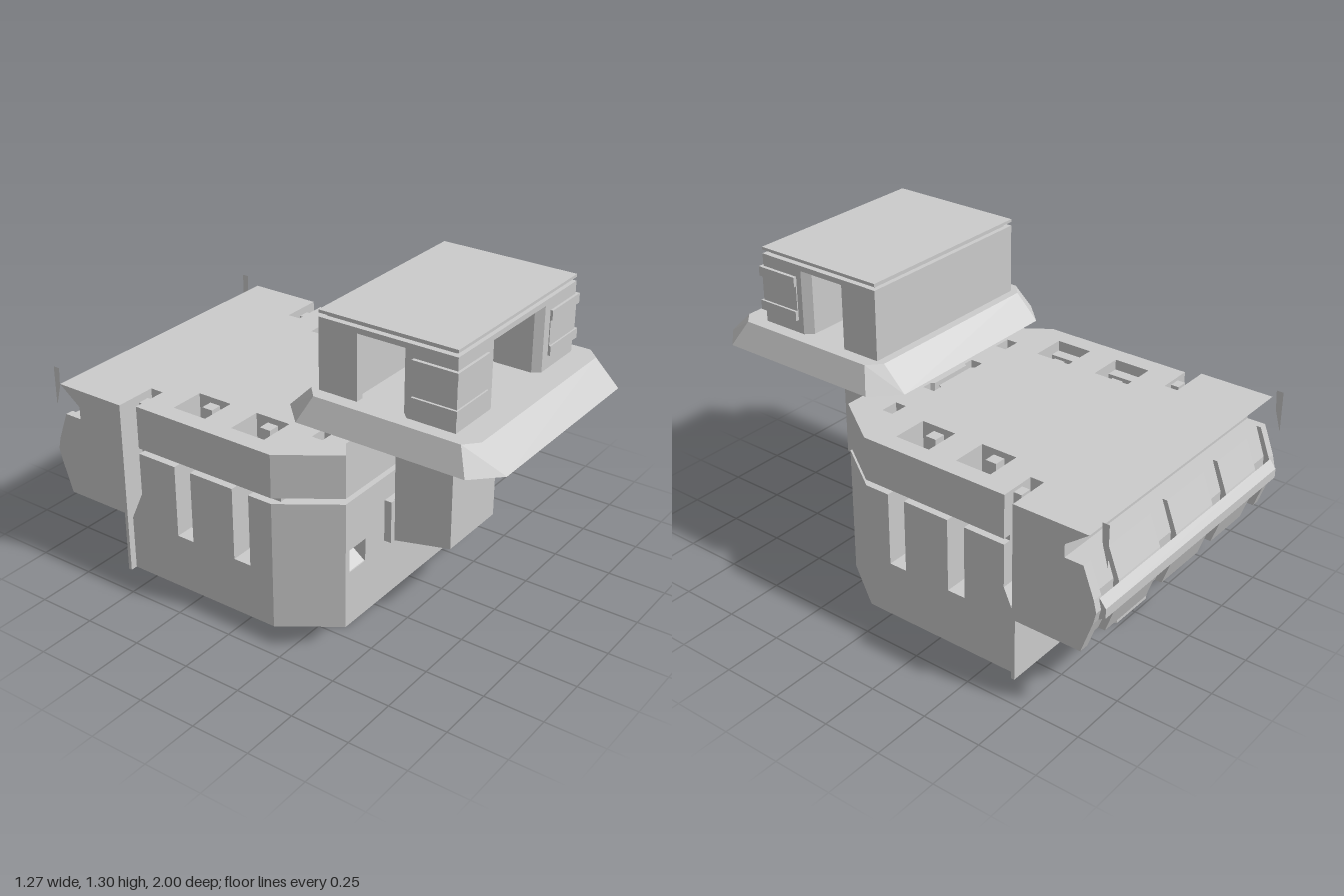
import * as THREE from 'three';
import { ConvexGeometry } from 'three/addons/geometries/ConvexGeometry.js';

export function createModel() {
  const model = new THREE.Group();
  const mat = new THREE.MeshStandardMaterial({ color: 0xcccccc, flatShading: true });
  const thinMat = new THREE.MeshStandardMaterial({ color: 0xcccccc, flatShading: true, side: THREE.DoubleSide });

  function add(name, geometry, parent = model, material = mat) {
    const mesh = new THREE.Mesh(geometry, material);
    mesh.name = name;
    parent.add(mesh);
    return mesh;
  }
  function group(name) {
    const g = new THREE.Group();
    g.name = name;
    model.add(g);
    return g;
  }
  // Box given by its limits on each axis
  function box(name, x0, x1, y0, y1, z0, z1, parent) {
    const g = new THREE.BoxGeometry(Math.abs(x1 - x0), y1 - y0, z1 - z0);
    g.translate((x0 + x1) / 2, (y0 + y1) / 2, (z0 + z1) / 2);
    return add(name, g, parent);
  }
  // Plan outline of [x, z] points raised from y0 to y1
  function slab(name, plan, y0, y1, parent, holes = []) {
    const pts = (list) => list.map(([x, z]) => new THREE.Vector2(x, -z));
    const shape = new THREE.Shape(pts(plan));
    for (const h of holes) shape.holes.push(new THREE.Path(pts(h)));
    const g = new THREE.ExtrudeGeometry(shape, { depth: y1 - y0, bevelEnabled: false });
    g.rotateX(-Math.PI / 2).translate(0, y0, 0);
    return add(name, g, parent);
  }
  // Side outline of [z, y] points swept from x0 to x1
  function sweep(name, side, x0, x1, parent) {
    const a = Math.min(x0, x1), b = Math.max(x0, x1);
    const shape = new THREE.Shape(side.map(([z, y]) => new THREE.Vector2(-z, y)));
    const g = new THREE.ExtrudeGeometry(shape, { depth: b - a, bevelEnabled: false });
    g.rotateY(Math.PI / 2).translate(a, 0, 0);
    return add(name, g, parent);
  }
  // Full outline from its +x half, listed front to back
  const mirrored = (half) => [...half, ...half.map(([x, z]) => [-x, z]).reverse()];
  const rect = (x0, x1, z0, z1) => [[x0, z0], [x1, z0], [x1, z1], [x0, z1]];

  // Lower body, in layers so that the slots and front windows are cut in
  const body = group('body');
  const BACK = -0.615, NOTCH = -0.555;
  const chamfer = [[0.445, 0.34], [0.605, 0.11]];
  const slots = [0, -0.29].flatMap((z) => [[0.605, z], [0.37, z], [0.37, z - 0.08], [0.605, z - 0.08]]);
  const corner = [[0.605, NOTCH], [0.45, NOTCH], [0.45, BACK]];
  const windowCuts = [[0.16, 0.2], [0.16, 0.34], [0.315, 0.34], [0.315, 0.2], [0.42, 0.2], [0.42, 0.34]];
  slab('lowerBody', mirrored([...chamfer, [0.605, BACK]]), 0, 0.24, body);
  slab('windowLayer', mirrored([...windowCuts, ...chamfer, ...slots, ...corner]), 0.24, 0.34, body);
  slab('slotLayer', mirrored([...chamfer, ...slots, ...corner]), 0.34, 0.555, body);
  slab('recessedBand', mirrored([[0.57, 0.13],
    ...slots.map(([x, z]) => [Math.min(x, 0.57), z]), [0.57, NOTCH], [0.45, NOTCH], [0.45, BACK]]), 0.555, 0.58, body);
  box('backFlange', -0.635, 0.635, 0, 0.765, -0.63, BACK, body);

  // Upper body with wells, small front holes and a waisted centre slot
  const wells = [];
  for (const s of [1, -1]) {
    for (const z of [0.02, -0.27]) wells.push(rect(s * 0.37, s * 0.525, z - 0.16, z));
    wells.push(rect(s * 0.32, s * 0.4, 0.15, 0.2));
  }
  const waist = mirrored([[0.1, 0.185], [0.11, 0.2], [0.155, 0.2], [0.155, 0.145], [0.11, 0.145], [0.1, 0.16]]);
  slab('upperBody', mirrored([...chamfer, ...corner]), 0.58, 0.765, body, [...wells, waist]);
  const lip = new THREE.PlaneGeometry(0.89, 0.05);
  lip.translate(0, 0.79, 0.34);
  add('frontLip', lip, body);

  for (const s of [1, -1]) {
    for (const z of [0.02, -0.27]) {
      box('wellLedge', s * 0.475, s * 0.525, 0.6, 0.72, z - 0.16, z, body);
      box('wellRib', s * 0.37, s * 0.42, 0.59, 0.74, z - 0.105, z - 0.055, body);
      sweep('slotRamp', [[z - 0.02, 0.24], [z - 0.1, 0.24], [z - 0.1, 0.27], [z - 0.02, 0.38]],
        s * 0.37, s * 0.45, body);
    }
    sweep('windowRamp', [[0.335, 0.24], [0.2, 0.24], [0.2, 0.34]], s * 0.315, s * 0.42, body);
    sweep('cornerRamp', [[NOTCH, 0.24], [NOTCH, 0.37], [BACK, 0.24]], s * 0.45, s * 0.605, body);
    box('cornerTab', s * 0.5, s * 0.55, 0.45, 0.75, -0.59, NOTCH, body);
  }

  // Tapered block low on the back
  add('backBlock', new ConvexGeometry([1, -1].flatMap((s) => [
    [0.18, 0, -0.625], [0.18, 0.13, -0.625], [0.105, 0, -0.735], [0.105, 0.165, -0.735],
  ].map(([x, y, z]) => new THREE.Vector3(s * x, y, z)))), body);

  // Rear hopper with ribbed back
  const hopper = group('rearHopper');
  sweep('hopperBody', [[-0.625, 0.27], [-0.625, 0.765], [-0.94, 0.765], [-0.84, 0.69], [-0.84, 0.635],
    [-0.9, 0.635], [-0.945, 0.51], [-0.945, 0.42], [-0.89, 0.27]], -0.635, 0.635, hopper);
  const panel = [[-0.86, 0.3], [-0.86, 0.635], [-0.92, 0.635], [-0.968, 0.51], [-0.98, 0.46],
    [-0.968, 0.41], [-0.92, 0.27], [-0.86, 0.27]];
  for (const [a, b] of [[-0.635, -0.6], [-0.49, -0.26], [-0.16, 0.1], [0.21, 0.48], [0.59, 0.635]]) {
    sweep('backPanel', panel, a, b, hopper);
  }
  sweep('backBar', [[-0.972, 0.415], [-0.972, 0.505], [-1, 0.47], [-1, 0.43]], -0.605, 0.605, hopper);
  for (const s of [1, -1]) {
    const fin = new THREE.ShapeGeometry(new THREE.Shape(
      [[0.97, 0.815], [0.975, 0.73], [1, 0.64], [1, 0.815]].map(([z, y]) => new THREE.Vector2(z, y))));
    fin.rotateY(Math.PI / 2).translate(s * 0.605, 0, 0);
    add('cornerFin', fin, hopper, thinMat);
  }

  // Neck carrying the cab
  const neck = group('neck');
  sweep('neckColumn', [[0.63, 0.32], [0.63, 0.89], [0.37, 0.89], [0.37, 0.265]], -0.16, 0.16, neck);
  box('neckBracket', -0.185, 0.185, 0.265, 0.45, 0.33, 0.372, neck);

  // Flared cab base
  const cab = group('cab');
  const rings = [
    [0.885, [[0.42, 1], [0.525, 0.895], [0.525, 0.17], [0.42, 0.065]]],
    [0.985, [[0.42, 0.895], [0.475, 0.845], [0.475, 0.215], [0.42, 0.165]]],
  ];
  add('cabBase', new ConvexGeometry(rings.flatMap(([y, half]) =>
    mirrored(half).map(([x, z]) => new THREE.Vector3(x, y, z)))), cab);

  // Cab walls, front corner pillars and wrap-around window frames
  slab('rearWall', mirrored([[0.42, 0.37], [0.42, 0.2]].reverse().concat([[0.385, 0.37], [0.385, 0.35]])
    .map((p, i) => [[0.42, 0.2], [0.42, 0.37], [0.385, 0.37], [0.365, 0.35]][i])), 0.985, 1.255, cab);
  for (const s of [1, -1]) {
    const side = (pts) => pts.map(([x, z]) => [s * x, z]);
    slab('frontPillar', side([[0.42, 0.585], [0.42, 0.79], [0.185, 0.79], [0.16, 0.76], [0.16, 0.6], [0.19, 0.555],
      [0.39, 0.555]]), 0.985, 1.255, cab);
    const wrap = (o) => side([[0.41, 0.61], [0.42 + o, 0.61], [0.42 + o, 0.79 + o * 0.7],
      [0.225, 0.79 + o * 0.7], [0.225, 0.78], [0.41, 0.78]]);
    slab('windowPane', wrap(0.005), 1.08, 1.185, cab);
    for (const y of [1.04, 1.185]) slab('windowFrame', wrap(0.015), y, y + 0.04, cab);
  }

  // Roof in three stacked layers
  box('roofHeader', -0.42, 0.42, 1.255, 1.277, 0.2, 0.79, cab);
  box('roofGroove', -0.395, 0.395, 1.277, 1.293, 0.22, 0.77, cab);
  box('roofPlate', -0.42, 0.42, 1.293, 1.305, 0.2, 0.79, cab);
  return model;
}
